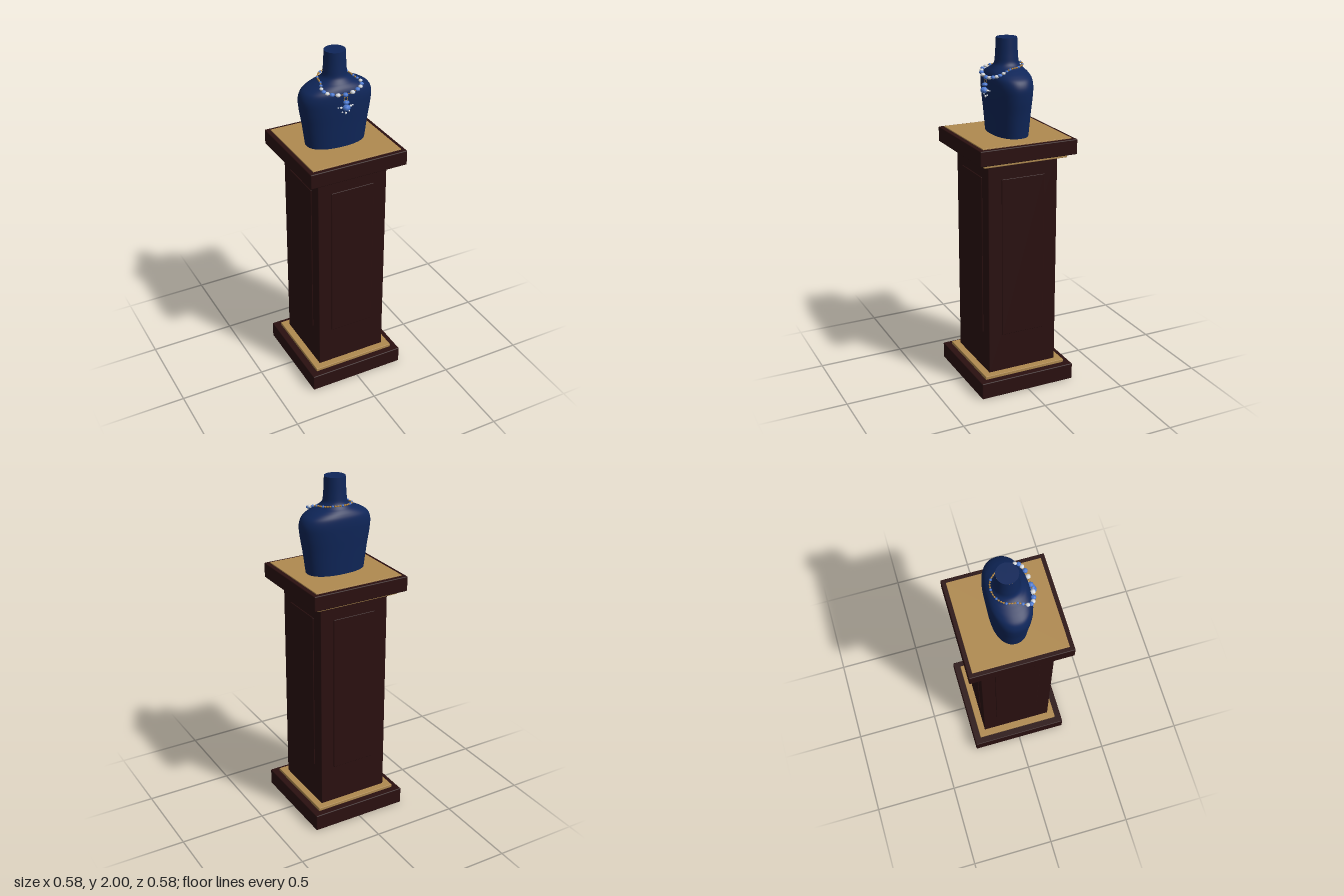
import * as THREE from 'three';
import { RoundedBoxGeometry } from 'three/addons/geometries/RoundedBoxGeometry.js';

const mat = (name, color, flatShading = false) => {
  const m = new THREE.MeshStandardMaterial({ color, flatShading });
  m.name = name;
  return m;
};

export function createModel() {
  const root = new THREE.Group();
  root.name = 'necklaceDisplay';
  const wood = mat('dark wood', 0x2a1010);
  const brass = mat('brass', 0xb08a50);
  const velvet = mat('navy velvet', 0x0f2659);
  const gold = mat('gold bead', 0xb0823c, true);
  const blue = mat('blue gem', 0x4a78d0, true);
  const pearl = mat('pale gem', 0xd4d8de, true);

  const add = (name, geo, material, parent = root) => {
    const m = new THREE.Mesh(geo, material);
    m.name = name;
    parent.add(m);
    return m;
  };

  // Pedestal: square slabs given by half width, bottom and top
  const slab = (name, half, y0, y1, material, r = 0.005) => {
    const h = y1 - y0;
    const geo = new RoundedBoxGeometry(half * 2, h, half * 2, 2, Math.min(r, h * 0.3));
    add(name, geo, material).position.y = (y0 + y1) / 2;
  };
  slab('base', 0.29, 0, 0.097, wood);
  slab('lowerTrim', 0.25, 0.096, 0.116, brass, 0.003);
  slab('shaft', 0.21, 0.11, 1.362, wood, 0.003);
  slab('upperTrim', 0.25, 1.357, 1.375, brass, 0.003);
  slab('capNeck', 0.24, 1.37, 1.385, wood, 0.002);
  slab('cap', 0.29, 1.38, 1.466, wood);
  slab('topInlay', 0.265, 1.46, 1.472, brass, 0.002);

  // Raised panel on each face of the shaft
  for (let i = 0; i < 4; i++) {
    const side = new THREE.Group();
    side.name = 'panelSide' + (i + 1);
    side.rotation.y = i * Math.PI / 2;
    root.add(side);
    add('panel', new RoundedBoxGeometry(0.26, 0.93, 0.012, 2, 0.003), wood, side)
      .position.set(0, 0.805, 0.209);
  }

  // Bust: oval sections as [height, half width, half depth]
  const sections = [
    [1.47, 0.172, 0.098], [1.6, 0.190, 0.107], [1.69, 0.205, 0.114], [1.75, 0.208, 0.117],
    [1.787, 0.192, 0.115], [1.81, 0.160, 0.107], [1.826, 0.125, 0.096], [1.84, 0.092, 0.083],
    [1.862, 0.069, 0.068], [1.9, 0.063, 0.063], [2.0, 0.058, 0.058],
  ];
  const profile = new THREE.CatmullRomCurve3(
    sections.map(([y, w, d]) => new THREE.Vector3(w, y, d)), false, 'centripetal');
  const rows = 50, cols = 64, pos = [], idx = [];
  for (let i = 0; i <= rows; i++) {
    const p = profile.getPoint(i / rows);
    // Fuller than an ellipse on the torso, round at the neck
    const k = 1 - 0.12 * THREE.MathUtils.smoothstep(p.x, 0.065, 0.19);
    for (let j = 0; j < cols; j++) {
      const a = j / cols * Math.PI * 2, c = Math.cos(a), s = Math.sin(a);
      pos.push(p.x * Math.sign(c) * Math.abs(c) ** k, p.y, p.z * Math.sign(s) * Math.abs(s) ** k);
      if (i < rows) {
        const n = (j + 1) % cols, A = i * cols + j, B = i * cols + n;
        idx.push(A, A + cols, B, B, A + cols, B + cols);
      }
    }
  }
  const bustGeo = new THREE.BufferGeometry();
  bustGeo.setAttribute('position', new THREE.Float32BufferAttribute(pos, 3));
  bustGeo.setIndex(idx);
  bustGeo.computeVertexNormals();
  add('bust', bustGeo, velvet);
  add('neckTop', new THREE.CircleGeometry(0.058, 48).rotateX(-Math.PI / 2), velvet).position.y = 2;

  // Necklace: cord along a closed path, mirrored left and right
  const necklace = new THREE.Group();
  necklace.name = 'necklace';
  root.add(necklace);
  const half = [
    [0, 1.855, -0.085], [0.03, 1.855, -0.081], [0.055, 1.853, -0.069], [0.076, 1.85, -0.049],
    [0.09, 1.847, -0.026], [0.095, 1.844, 0], [0.098, 1.84, 0.026], [0.108, 1.834, 0.05],
    [0.116, 1.827, 0.073], [0.112, 1.817, 0.092], [0.098, 1.809, 0.105], [0.075, 1.802, 0.115],
    [0.043, 1.795, 0.121], [0, 1.791, 0.121],
  ].map(p => new THREE.Vector3(...p));
  const mirrored = half.slice(1, -1).reverse().map(v => new THREE.Vector3(-v.x, v.y, v.z));
  const loop = new THREE.CatmullRomCurve3([...half, ...mirrored], true);
  add('cord', new THREE.TubeGeometry(loop, 120, 0.002, 5, true), gold, necklace);

  const ball = new THREE.SphereGeometry(1, 8, 6);
  const gem = new THREE.IcosahedronGeometry(1, 1);
  const bead = (name, geo, material, p, r, sy = 1) => {
    const m = add(name, geo, material, necklace);
    m.position.set(...p);
    m.scale.set(r, r * sy, r);
  };
  const pair = (name, geo, material, [x, y, z], r, sy) => {
    bead(name + 'Left', geo, material, [x, y, z], r, sy);
    bead(name + 'Right', geo, material, [-x, y, z], r, sy);
  };

  // Small beads around the back, every fourth one blue
  const side = new THREE.CatmullRomCurve3(half.slice(0, 8));
  bead('clasp', gem, blue, half[0].toArray(), 0.007);
  for (let i = 1; i < 14; i++) {
    const isBlue = i % 4 === 0;
    pair('smallBead' + i, isBlue ? gem : ball, isBlue ? blue : gold,
      side.getPointAt(i / 14).toArray(), isBlue ? 0.007 : 0.0052);
  }

  // Growing gems down the front, alternating blue and pale
  [0.009, 0.011, 0.0125, 0.0125, 0.014, 0.014].forEach((r, i) =>
    pair('frontGem' + i, gem, i % 2 ? pearl : blue, half[7 + i].toArray(), r, 0.75));
  bead('centreGem', gem, blue, [0, 1.789, 0.122], 0.015, 0.8);

  // Pendant hanging at the front
  const ring = add('pendantRing', new THREE.TorusGeometry(0.011, 0.002, 6, 16), gold, necklace);
  ring.position.set(0, 1.768, 0.126);
  bead('pendantUpperGem', gem, blue, [0, 1.75, 0.131], 0.017, 0.6);
  bead('pendantMainGem', gem, blue, [0, 1.72, 0.135], 0.021, 0.85);
  pair('pendantWing', gem, pearl, [0.028, 1.722, 0.127], 0.008, 0.7);
  pair('pendantTip', gem, pearl, [0.043, 1.722, 0.122], 0.005, 0.7);
  pair('pendantLower', gem, pearl, [0.02, 1.694, 0.126], 0.005);
  bead('pendantDrop', gem, pearl, [0, 1.686, 0.127], 0.006, 1.2);

  return root;
}
